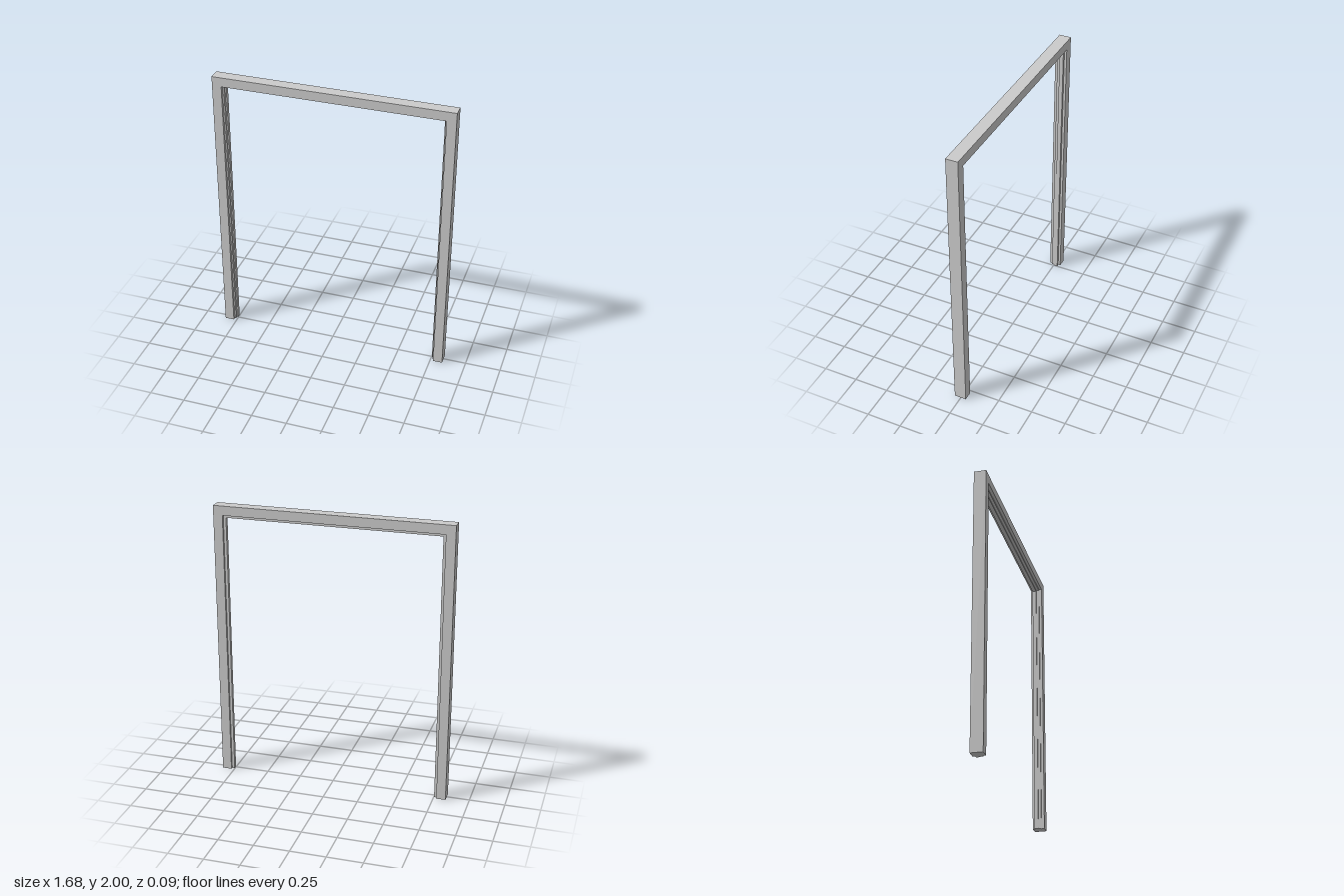
import * as THREE from 'three';

const HALF_WIDTH = 0.838, HEIGHT = 2, D = 0.0425;

// Stepped moulding section: [inset from the outer edge, z]
const PROFILE = [
  [0, -D], [0, D], [0.066, D],
  [0.066, D - 0.02], [0.076, D - 0.02],   // first front rebate
  [0.076, D - 0.04], [0.085, D - 0.04],   // door stop
  [0.085, D - 0.068], [0.066, D - 0.068], // back rebate
  [0.066, -D],
];

// Section placed at the foot or mitred top corner of one side
const ring = (side, top) => PROFILE.map(([t, z]) =>
  new THREE.Vector3(side * (HALF_WIDTH - t), top ? HEIGHT - t : 0, z));

// Flat-faced skin between two sections
function skin(a, b) {
  const tris = [];
  a.forEach((p, i) => {
    const j = (i + 1) % a.length;
    tris.push(p, a[j], b[j], p, b[j], b[i]);
  });
  return tris;
}

// Downward-facing cap that closes the foot of a jamb
function footCap(r) {
  const outline = r.map(p => new THREE.Vector2(p.x, p.z));
  return THREE.ShapeUtils.triangulateShape(outline, []).flatMap(([i, j, k]) => {
    const [a, b, c] = [r[i], r[j], r[k]];
    const up = b.clone().sub(a).cross(c.clone().sub(a)).y > 0;
    return up ? [a, c, b] : [a, b, c];
  });
}

export function createModel() {
  const group = new THREE.Group();
  group.name = 'doorFrame';
  const material = new THREE.MeshStandardMaterial({ color: 0xcccccc, flatShading: true });
  const add = (name, points) => {
    const geometry = new THREE.BufferGeometry().setFromPoints(points);
    geometry.computeVertexNormals();
    const mesh = new THREE.Mesh(geometry, material);
    mesh.name = name;
    group.add(mesh);
  };

  const rightFoot = ring(-1, false), rightTop = ring(-1, true);
  const leftFoot = ring(1, false), leftTop = ring(1, true);

  // Two jambs joined by the head
  add('rightJamb', [...skin(rightFoot, rightTop), ...footCap(rightFoot)]);
  add('head', skin(rightTop, leftTop));
  add('leftJamb', [...skin(leftTop, leftFoot), ...footCap(leftFoot)]);

  // The frame stands very slightly turned
  group.rotation.y = -0.005;
  return group;
}
